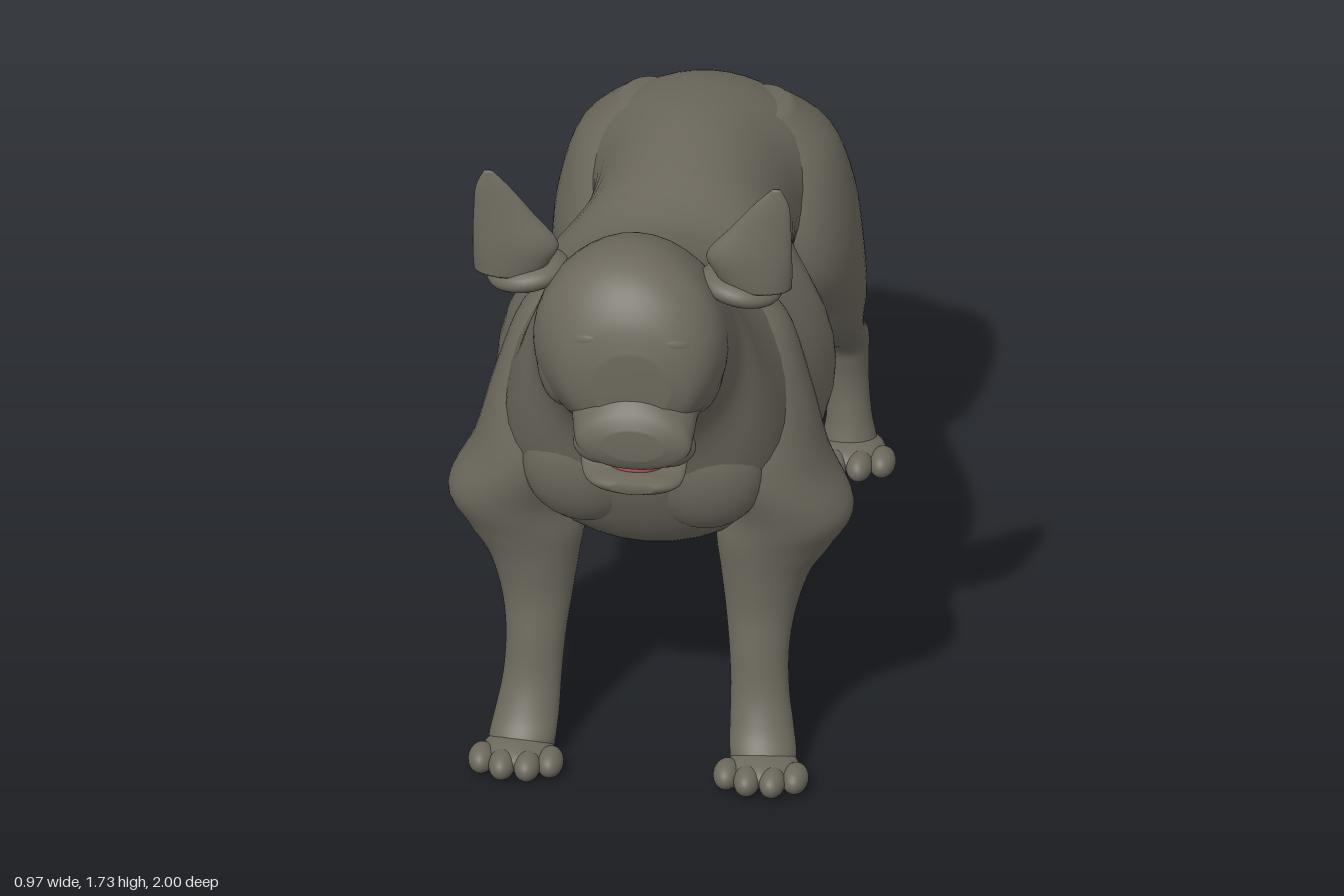
import * as THREE from 'three';

const coat = new THREE.MeshStandardMaterial({ color: 0x6c685d });
coat.name = 'coat';
const pink = new THREE.MeshStandardMaterial({ color: 0xc4606c });
pink.name = 'mouth pink';

// Smooth interpolation of every number in a list of rings
function sample(rings, t) {
  const n = rings.length - 1;
  const i = Math.min(Math.floor(t * n), n - 1), u = t * n - i;
  const at = k => rings[Math.max(0, Math.min(n, k))];
  return rings[i].map((b, k) => {
    const a = at(i - 1)[k], c = at(i + 1)[k], d = at(i + 2)[k];
    return b + 0.5 * u * (c - a + u * (2 * a - 5 * b + 4 * c - d + u * (3 * (b - c) + d - a)));
  });
}

// Closed skin through elliptical rings, listed in rising order along 'y' or 'z'.
// Ring: [position, centre x, centre across, radius x, radius across, taper]
function loft(name, axis, rings) {
  const sides = 40, perRing = 5, rows = (rings.length - 1) * perRing;
  const pos = [], index = [];
  const put = (x, along, across) =>
    axis === 'y' ? pos.push(x, along, across) : pos.push(x, across, along);
  const tri = (a, b, c) => axis === 'y' ? index.push(a, b, c) : index.push(a, c, b);
  for (let i = 0; i <= rows; i++) {
    const [p, cx, cc, rx, rc, k] = sample(rings, i / rows);
    for (let j = 0; j < sides; j++) {
      const a = j / sides * Math.PI * 2, s = Math.sin(a);
      put(cx + rx * Math.cos(a) * (1 - k * s), p, cc + rc * s);
    }
  }
  const first = (rows + 1) * sides, last = first + 1;
  const end = rings[rings.length - 1];
  put(rings[0][1], rings[0][0], rings[0][2]);
  put(end[1], end[0], end[2]);
  for (let j = 0; j < sides; j++) {
    const n = (j + 1) % sides, top = rows * sides;
    tri(first, j, n);
    for (let i = 0; i < rows; i++) {
      const a = i * sides + j, c = i * sides + n;
      tri(a, a + sides, c);
      tri(c, a + sides, c + sides);
    }
    tri(top + j, last, top + n);
  }
  const g = new THREE.BufferGeometry();
  g.setAttribute('position', new THREE.Float32BufferAttribute(pos, 3));
  g.setIndex(index);
  g.computeVertexNormals();
  const mesh = new THREE.Mesh(g, coat);
  mesh.name = name;
  return mesh;
}

// Skin along z from slices [z, bottom, top, half width, taper, centre x]
const trunk = (name, list) => loft(name, 'z', list.map(([z, b, t, w, k = 0, cx = 0]) =>
  [z, cx, (b + t) / 2, w, (t - b) / 2, k]));
// Skin along y from rings [y, x, z, radius x, radius z], placed on side s
const limb = (name, s, list) => loft(name, 'y', list.map(([y, x, z, rx, rz]) =>
  [y, x * s, z, rx, rz, 0]));

const ball = new THREE.SphereGeometry(1, 28, 18);
function blob(name, p, r, rot = [0, 0, 0], material = coat) {
  const m = new THREE.Mesh(ball, material);
  m.name = name;
  m.position.set(...p);
  m.scale.set(...r);
  m.rotation.set(...rot);
  return m;
}

function paw(name, x, z, s) {
  const g = new THREE.Group();
  g.name = name;
  g.add(blob('pawPad', [x * s, 0.045, z], [0.085, 0.038, 0.085]));
  [-0.082, -0.03, 0.03, 0.082].forEach((dx, i) => {
    const front = i === 1 || i === 2 ? 0.065 : 0.04;
    g.add(blob('toe', [x * s + dx, 0.04, z + front], [0.032, 0.034, 0.05]));
  });
  return g;
}

export function createModel() {
  const dog = new THREE.Group();
  dog.name = 'dog';

  // Rump, barrel, chest, neck and skull in one skin
  dog.add(trunk('body', [
    [-0.83, 0.88, 1.03, 0.06],
    [-0.80, 0.80, 1.11, 0.17],
    [-0.72, 0.73, 1.17, 0.26],
    [-0.60, 0.70, 1.21, 0.29],
    [-0.42, 0.70, 1.235, 0.245],
    [-0.22, 0.635, 1.225, 0.27],
    [0.00, 0.55, 1.195, 0.385],
    [0.15, 0.515, 1.225, 0.40, 0.02],
    [0.30, 0.52, 1.285, 0.375, 0.08],
    [0.42, 0.55, 1.365, 0.345, 0.15],
    [0.52, 0.62, 1.45, 0.32, 0.2],
    [0.59, 0.74, 1.505, 0.29, 0.15],
    [0.65, 0.92, 1.54, 0.25, 0.05],
    [0.73, 1.03, 1.565, 0.235, 0],
    [0.81, 1.07, 1.56, 0.23, -0.05, 0.005],
    [0.88, 1.11, 1.52, 0.2, -0.05, 0.015],
    [0.93, 1.15, 1.455, 0.155, 0, 0.02],
    [0.955, 1.2, 1.38, 0.09, 0, 0.025],
  ]));

  // Muzzle, nose, jaw and tongue, turned a little to one side
  dog.add(trunk('muzzle', [
    [0.78, 1.1, 1.32, 0.17, 0.1, 0.02],
    [0.87, 1.1, 1.31, 0.15, 0.15, 0.025],
    [0.94, 1.085, 1.27, 0.142, 0.15, 0.03],
    [0.98, 1.085, 1.235, 0.13, 0.1, 0.035],
    [1.0, 1.12, 1.2, 0.07, 0, 0.035],
  ]));
  dog.add(blob('nose', [0.035, 1.2, 0.965], [0.065, 0.03, 0.032]));
  dog.add(trunk('lowerJaw', [
    [0.72, 1.05, 1.13, 0.12],
    [0.81, 1.025, 1.1, 0.13, 0, 0.015],
    [0.9, 1.0, 1.055, 0.122, 0, 0.025],
    [0.95, 1.0, 1.05, 0.1, 0, 0.03],
    [0.98, 1.015, 1.045, 0.05, 0, 0.03],
  ]));
  dog.add(blob('tongue', [0.03, 1.06, 0.86], [0.085, 0.032, 0.08], [0, 0, 0], pink));

  for (const s of [1, -1]) {
    const side = new THREE.Group();
    side.name = s > 0 ? 'leftSide' : 'rightSide';

    // Brow, eyelid and lip
    side.add(blob('brow', [0.1 * s + 0.02, 1.4, 0.89], [0.07, 0.03, 0.045], [0, 0.3 * s, -0.25 * s]));
    side.add(blob('eyelid', [0.105 * s + 0.02, 1.34, 0.89], [0.042, 0.02, 0.035]));
    side.add(blob('cheek', [0.155 * s, 1.27, 0.76], [0.07, 0.14, 0.1]));
    side.add(blob('lip', [0.075 * s + 0.032, 1.13, 0.935], [0.072, 0.05, 0.055]));

    // Upright ear and the loose flap under it
    side.add(limb('ear', s, [
      [1.46, 0.3, 0.72, 0.08, 0.045],
      [1.5, 0.288, 0.725, 0.094, 0.042],
      [1.55, 0.28, 0.73, 0.102, 0.035],
      [1.62, 0.307, 0.73, 0.073, 0.024],
      [1.69, 0.333, 0.73, 0.042, 0.013],
      [1.735, 0.345, 0.73, 0.01, 0.004],
    ]));
    side.add(blob('earFlap', [0.255 * s, 1.445, 0.69], [0.1, 0.04, 0.095], [0, 0.2 * s, -0.2 * s]));

    // Foreleg with elbow and shoulder
    side.add(limb('foreleg', s, [
      [0.01, 0.29, 0.54, 0.075, 0.05],
      [0.06, 0.288, 0.54, 0.08, 0.07],
      [0.12, 0.28, 0.505, 0.076, 0.062],
      [0.2, 0.272, 0.475, 0.07, 0.056],
      [0.3, 0.267, 0.45, 0.072, 0.062],
      [0.4, 0.268, 0.42, 0.086, 0.076],
      [0.5, 0.278, 0.405, 0.11, 0.095],
      [0.58, 0.3, 0.395, 0.142, 0.118],
      [0.67, 0.33, 0.39, 0.155, 0.145],
      [0.8, 0.285, 0.38, 0.14, 0.175],
      [0.96, 0.25, 0.36, 0.13, 0.165],
      [1.12, 0.22, 0.32, 0.1, 0.12],
      [1.2, 0.19, 0.3, 0.04, 0.05],
    ]));
    side.add(paw('forePaw', 0.293, 0.58, s));
    side.add(blob('breast', [0.14 * s, 0.82, 0.53], [0.15, 0.16, 0.09], [0.15, 0, 0]));

    // Hind leg with hock and thigh
    side.add(limb('hindLeg', s, [
      [0.01, 0.305, -0.91, 0.06, 0.05],
      [0.06, 0.305, -0.91, 0.065, 0.06],
      [0.12, 0.303, -0.918, 0.055, 0.052],
      [0.2, 0.3, -0.925, 0.05, 0.047],
      [0.28, 0.298, -0.928, 0.05, 0.058],
      [0.34, 0.295, -0.92, 0.055, 0.075],
      [0.42, 0.29, -0.825, 0.06, 0.088],
      [0.5, 0.285, -0.745, 0.075, 0.1],
      [0.6, 0.28, -0.705, 0.092, 0.13],
      [0.75, 0.262, -0.65, 0.108, 0.19],
      [0.9, 0.235, -0.635, 0.118, 0.2],
      [1.05, 0.19, -0.63, 0.115, 0.16],
      [1.16, 0.14, -0.61, 0.06, 0.08],
    ]));
    side.add(paw('hindPaw', 0.31, -0.885, s));
    dog.add(side);
  }

  // Docked tail flap, its small tip and the belly sheath
  dog.add(blob('tail', [0, 0.96, -0.828], [0.048, 0.09, 0.016], [-0.12, 0, 0]));
  dog.add(blob('tailTip', [0, 1.04, -0.843], [0.035, 0.008, 0.018]));
  dog.add(blob('sheath', [0, 0.665, -0.29], [0.04, 0.04, 0.09], [-0.3, 0, 0]));
  return dog;
}
